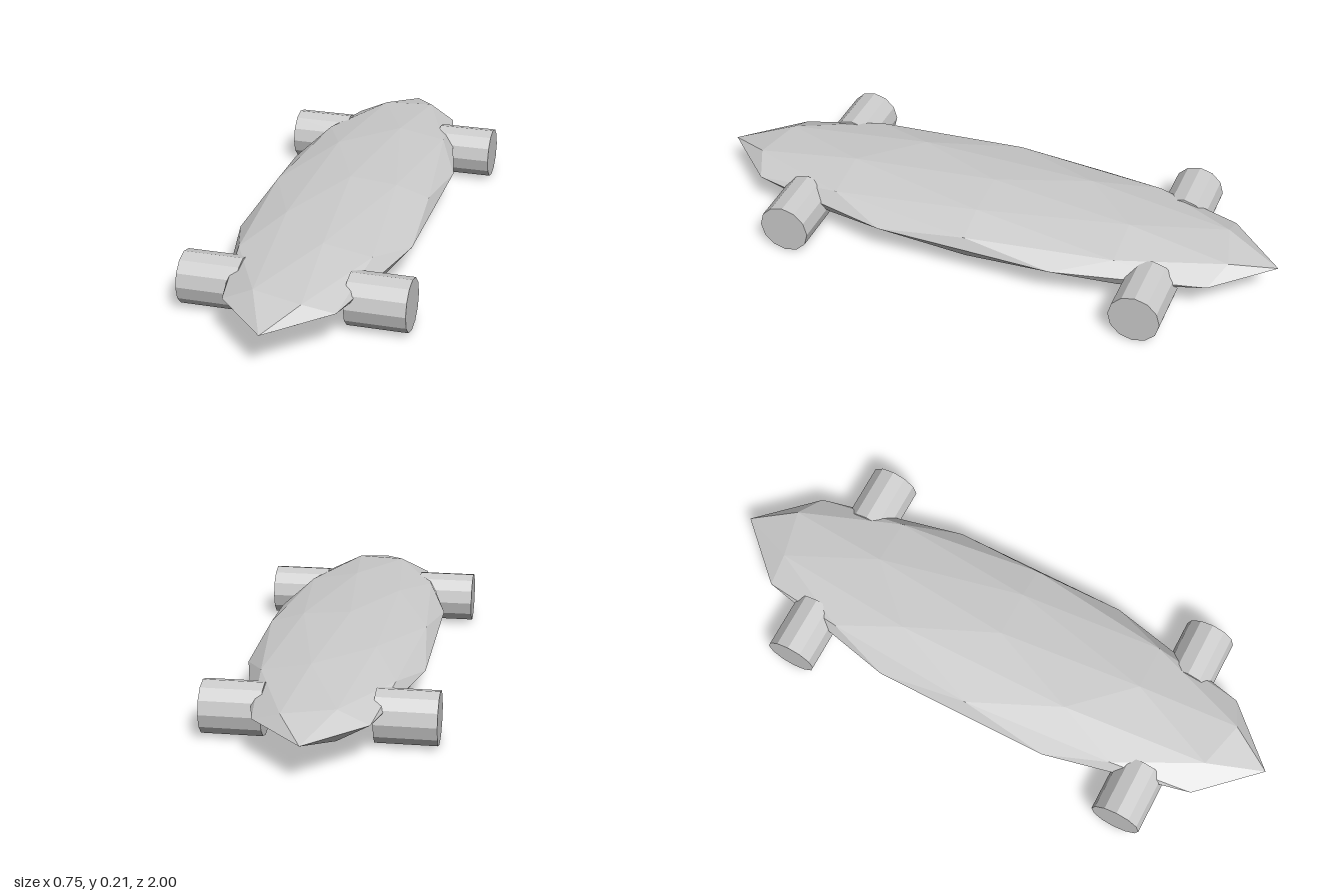
import * as THREE from 'three';

export function createModel() {
  const model = new THREE.Group();
  const grey = new THREE.MeshStandardMaterial({ color: 0xcccccc, flatShading: true });
  grey.name = 'light grey';

  // Deck: low-poly sphere turned so one corner points up, then flattened and stretched
  const deckGeometry = new THREE.IcosahedronGeometry(1, 1);
  deckGeometry.rotateX(-Math.atan((1 + Math.sqrt(5)) / 2));
  deckGeometry.rotateY(Math.PI / 2);
  deckGeometry.scale(0.309, 0.087, 1);
  const deck = new THREE.Mesh(deckGeometry, grey);
  deck.name = 'deck';
  deck.position.y = 0.125;
  model.add(deck);

  // Wheels: four wide twelve-sided rollers, sunk into the deck's sides
  const radius = 0.0873, inner = 0.175, outer = 0.373;
  const wheelGeometry = new THREE.CylinderGeometry(radius, radius, outer - inner, 12);
  wheelGeometry.rotateZ(Math.PI / 2);
  for (const [end, z] of [['front', 0.624], ['back', -0.624]]) {
    for (const [side, s] of [['Left', 1], ['Right', -1]]) {
      const wheel = new THREE.Mesh(wheelGeometry, grey);
      wheel.name = `${end}${side}Wheel`;
      wheel.position.set(s * (inner + outer) / 2, radius, z);
      model.add(wheel);
    }
  }
  return model;
}
